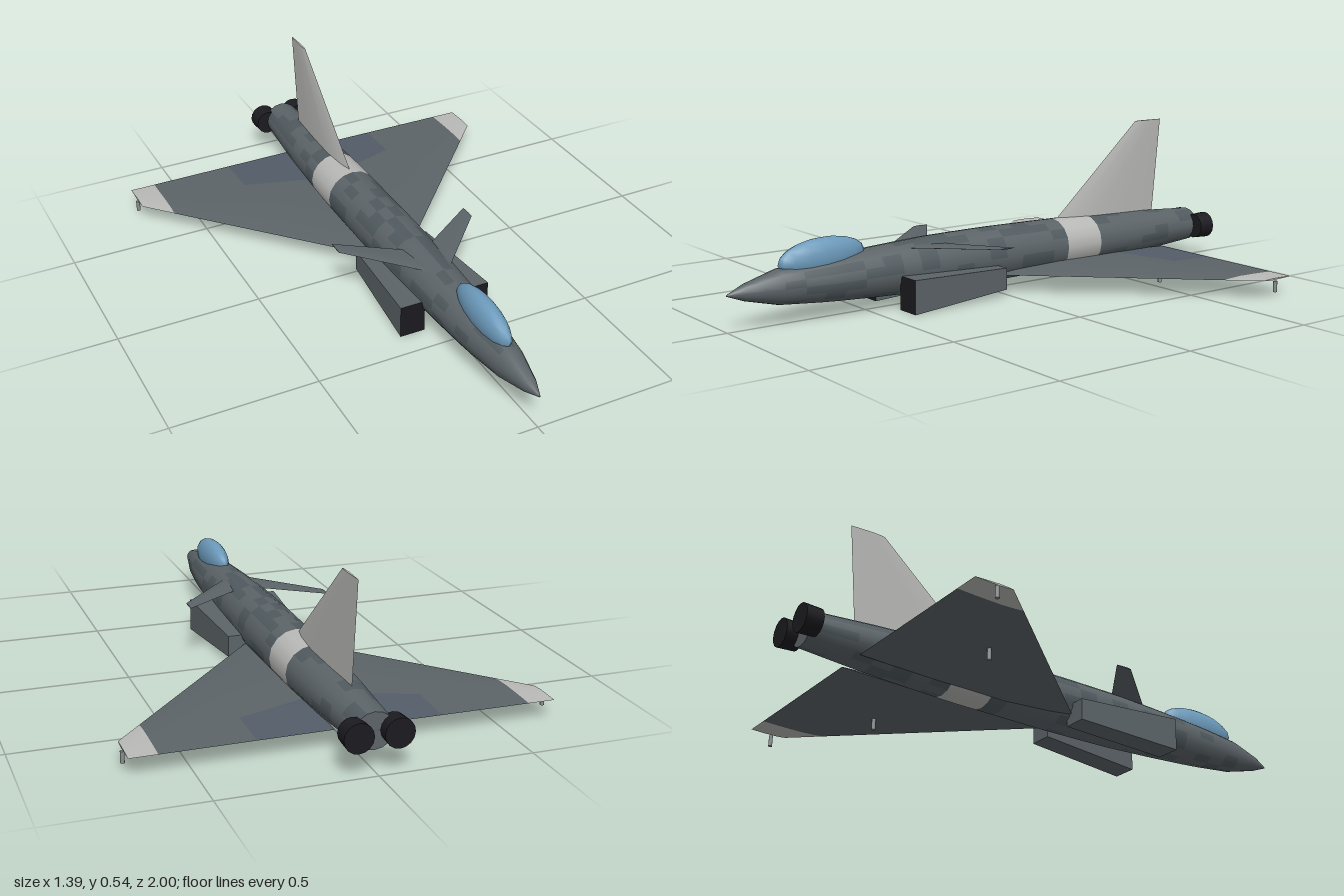
import * as THREE from 'three';
import { toCreasedNormals } from 'three/addons/utils/BufferGeometryUtils.js';

const GREY = 0x5c6468, DARK = 0x505a5f, SLATE = 0x535c68, PALE = 0xb9b9b7, BLACK = 0x1b1b20, GLASS = 0x6c9abb, ROD = 0x8c8f92;
const material = (color) => new THREE.MeshStandardMaterial({ color });

// Skin a row of closed rings, with end caps; colorAt(ring, side) picks the panel colour
// (ring -1 is the first cap, ring rings.length - 1 the last cap).
function loft(name, rings, colorAt, crease = 0.6) {
  const buckets = new Map();
  const put = (color, ...pts) => {
    if (!buckets.has(color)) buckets.set(color, []);
    pts.forEach((p) => buckets.get(color).push(...p));
  };
  const n = rings[0].length, last = rings.length - 1;
  const middle = (ring) => [0, 1, 2].map((k) => ring.reduce((sum, p) => sum + p[k], 0) / n);
  const start = middle(rings[0]), end = middle(rings[last]);
  for (let j = 0; j < n; j++) {
    const k = (j + 1) % n;
    for (let i = 0; i < last; i++) {
      const a = rings[i][j], b = rings[i][k], c = rings[i + 1][k], d = rings[i + 1][j];
      put(colorAt(i, j), a, b, c, a, c, d);
    }
    put(colorAt(-1, j), start, rings[0][k], rings[0][j]);
    put(colorAt(last, j), end, rings[last][j], rings[last][k]);
  }
  // Shade the whole skin together, then split it by colour
  let whole = new THREE.BufferGeometry();
  whole.setAttribute('position', new THREE.Float32BufferAttribute([...buckets.values()].flat(), 3));
  whole = toCreasedNormals(whole, crease);
  const group = new THREE.Group();
  group.name = name;
  let from = 0;
  for (const [color, list] of buckets) {
    const geometry = new THREE.BufferGeometry();
    for (const key of ['position', 'normal']) {
      const part = whole.attributes[key].array.slice(from, from + list.length);
      geometry.setAttribute(key, new THREE.BufferAttribute(part, 3));
    }
    from += list.length;
    const mesh = new THREE.Mesh(geometry, material(color));
    mesh.name = name + 'Panels';
    group.add(mesh);
  }
  return group;
}

// Thin aerofoil: fraction of chord from the leading edge, fraction of half thickness
const FOIL = [[0, 0], [0.12, -0.6], [0.35, -1], [0.7, -0.6], [1, 0], [0.7, 0.6], [0.35, 1], [0.12, 0.6]];

// Horizontal blade from stations [x, leading z, trailing z, y, half thickness]
function blade(name, side, stations, colorAt) {
  const rings = stations.map(([x, le, te, y, h]) => {
    const ring = FOIL.map(([c, t]) => [side * x, y + h * t, le + (te - le) * c]);
    return side < 0 ? ring.reverse() : ring;
  });
  return loft(name, rings, colorAt);
}

// Fuselage sections: z, centre y, half width, half height
const BODY = [
  [1, 0.118, 0.002, 0.002], [0.94, 0.12, 0.025, 0.027], [0.82, 0.122, 0.052, 0.059], [0.65, 0.122, 0.074, 0.074],
  [0.45, 0.123, 0.086, 0.086], [0.25, 0.124, 0.092, 0.095], [0, 0.124, 0.095, 0.097], [-0.4, 0.124, 0.095, 0.091],
  [-0.7, 0.124, 0.084, 0.078], [-0.96, 0.125, 0.065, 0.06],
];

function bodyRing(z, sides) {
  let i = 0;
  while (i < BODY.length - 2 && BODY[i + 1][0] > z) i++;
  const f = (z - BODY[i][0]) / (BODY[i + 1][0] - BODY[i][0]);
  const [, cy, rx, ry] = BODY[i].map((v, k) => v + (BODY[i + 1][k] - v) * f);
  return Array.from({ length: sides }, (_, j) => {
    const t = (j / sides) * Math.PI * 2;
    return [rx * Math.sin(t), cy + ry * Math.cos(t), z];
  });
}

function fuselage() {
  const zs = [1, 0.94, 0.88, 0.82];
  for (let z = 0.75; z > -0.26; z -= 0.07) zs.push(z);
  zs.push(-0.295, -0.37, -0.45);
  for (let z = -0.52; z > -0.93; z -= 0.07) zs.push(z);
  zs.push(-0.96);
  // Mottled panels with a pale band ahead of the tail
  const shade = (i, j) => {
    if (zs[i] <= -0.29 && zs[i + 1] >= -0.46) return PALE;
    const noise = Math.abs(Math.sin(i * 12.99 + j * 78.23) * 43758.5) % 1;
    return i > 2 && noise < 0.35 ? DARK : GREY;
  };
  return loft('fuselage', zs.map((z) => bodyRing(z, 16)), shade, 0.8);
}

export function createModel() {
  const model = new THREE.Group();
  const add = (name, geometry, color, x, y, z) => {
    const mesh = new THREE.Mesh(geometry, material(color));
    mesh.name = name;
    mesh.position.set(x, y, z);
    model.add(mesh);
    return mesh;
  };

  model.add(fuselage());

  // Canopy
  const canopy = add('canopy', new THREE.SphereGeometry(1, 16, 10), GLASS, 0, 0.197, 0.66);
  canopy.scale.set(0.043, 0.065, 0.16);
  canopy.rotation.x = 0.05;

  // Tail fin, lofted upwards: y, leading z, trailing z, half thickness
  const fin = [[0.18, -0.275, -0.78, 0.017], [0.21, -0.31, -0.783, 0.016], [0.54, -0.69, -0.815, 0.004]];
  model.add(loft('tailFin', fin.map(([y, le, te, h]) => FOIL.map(([c, t]) => [-h * t, y, le + (te - le) * c])), () => PALE));

  for (const side of [1, -1]) {
    const label = side > 0 ? 'left' : 'right';

    // Delta wing with a dark inner rear panel and pale tip
    const stations = [0.055, 0.3, 0.6, 0.69].map((x) => {
      const f = (x - 0.055) / 0.635;
      return [x, 0.045 - 0.7 * f, -0.785, 0.065 - 0.002 * f, 0.014 - 0.011 * f];
    });
    model.add(blade(label + 'Wing', side, stations, (i, j) => {
      if (i >= 2) return PALE;
      const rear = side > 0 ? j === 4 : j === 2;
      return i === 0 && rear ? SLATE : GREY;
    }));

    // Canard
    model.add(blade(label + 'Canard', side, [[0.04, 0.37, 0.225, 0.197, 0.005], [0.255, 0.135, 0.075, 0.197, 0.002]], () => GREY));

    // Tapered air intake with a dark mouth: z, inner x, outer x, bottom, top
    const intake = [[0.41, 0.075, 0.164, 0, 0.115], [0.017, 0.055, 0.138, 0.025, 0.1]].map(([z, x0, x1, y0, y1]) => {
      const ring = [[side * x0, y1, z], [side * x1, y1, z], [side * x1, y0, z], [side * x0, y0, z]];
      return side < 0 ? ring.reverse() : ring;
    });
    model.add(loft(label + 'Intake', intake, (i) => (i < 0 ? BLACK : GREY)));

    // Engine nozzle
    const nozzle = new THREE.CylinderGeometry(0.045, 0.048, 0.06, 16).rotateX(Math.PI / 2);
    add(label + 'Nozzle', nozzle, BLACK, side * 0.064, 0.125, -0.97);

    // Rods under the wing
    for (const [x, z] of [[0.345, -0.5], [0.69, -0.71]]) {
      add(label + 'WingRod', new THREE.CylinderGeometry(0.007, 0.007, 0.038, 8), ROD, side * x, 0.037, z);
    }
  }
  return model;
}
